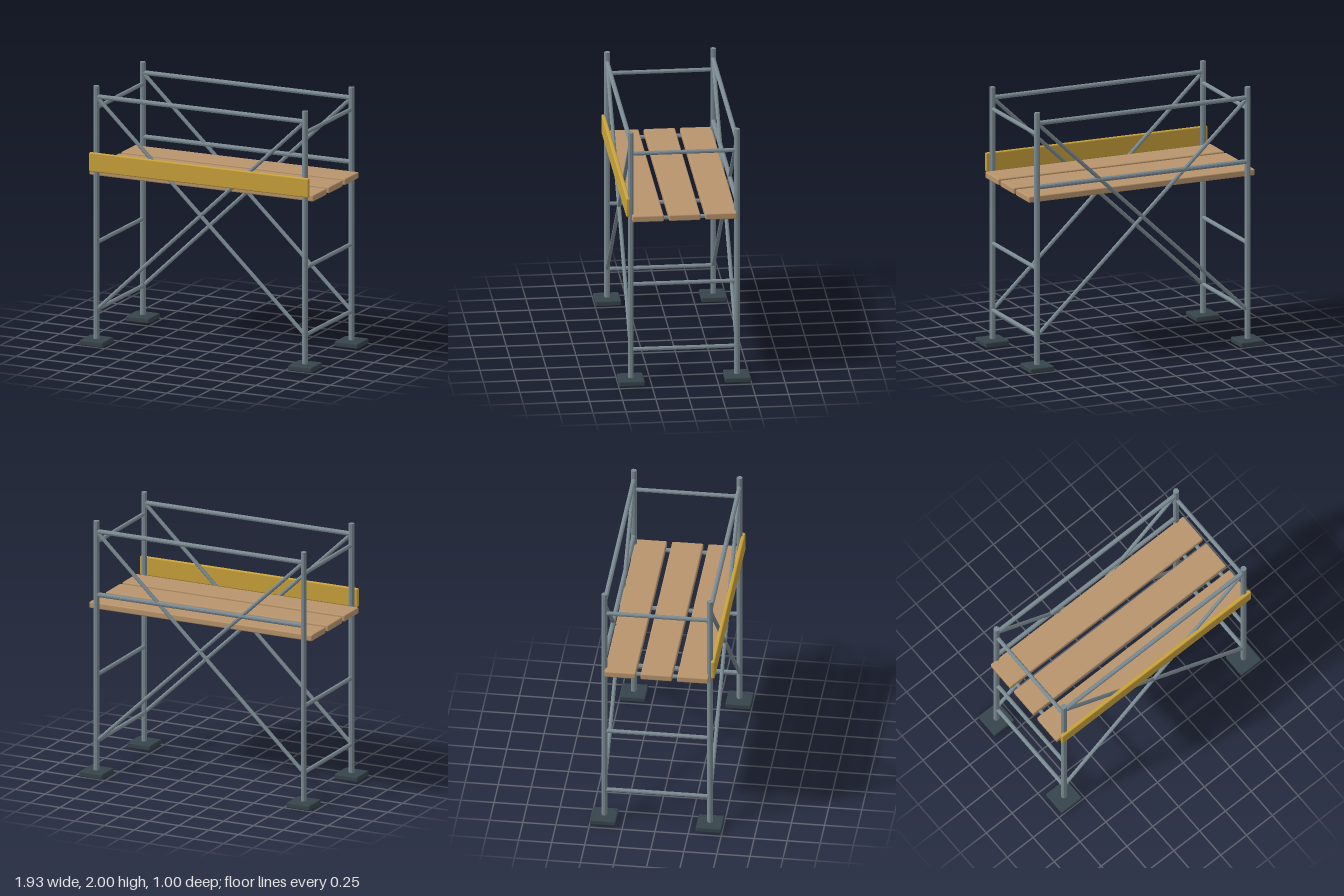
import * as THREE from 'three';
import { RoundedBoxGeometry } from 'three/addons/geometries/RoundedBoxGeometry.js';

const material = (name, color, flatShading = false) => {
  const m = new THREE.MeshStandardMaterial({ color, flatShading });
  m.name = name;
  return m;
};

export function createModel() {
  const model = new THREE.Group();
  model.name = 'scaffold';
  const steel = material('galvanised steel', 0x7b8a92, true);
  const dark = material('dark base steel', 0x37444b);
  const wood = material('plank wood', 0xb8946c);
  const yellow = material('toe board yellow', 0xc9a23a);

  const X = 0.87, Z = 0.4; // post positions

  // Straight tube between two points
  const tube = (name, a, b, r) => {
    const from = new THREE.Vector3(...a), to = new THREE.Vector3(...b);
    const dir = to.clone().sub(from);
    const mesh = new THREE.Mesh(new THREE.CylinderGeometry(r, r, dir.length(), 10), steel);
    mesh.position.copy(from).add(to).multiplyScalar(0.5);
    mesh.quaternion.setFromUnitVectors(new THREE.Vector3(0, 1, 0), dir.normalize());
    mesh.name = name;
    model.add(mesh);
  };

  // Board with softened edges
  const board = (name, size, pos, mat) => {
    const mesh = new THREE.Mesh(new RoundedBoxGeometry(...size, 2, 0.01), mat);
    mesh.position.set(...pos);
    mesh.name = name;
    model.add(mesh);
  };

  // Posts on square base plates
  for (const x of [-X, X]) for (const z of [-Z, Z]) {
    tube('post', [x, 0.03, z], [x, 2, z], 0.022);
    board('basePlate', [0.195, 0.042, 0.195], [x, 0.025 - 0.004, z], dark);
  }

  // Ladder rungs on both end frames
  for (const x of [-X, X]) for (const y of [0.264, 0.785, 1.31, 1.83])
    tube('rung', [x, y, -Z], [x, y, Z], 0.016);

  // Top rails and cross braces on the front and back
  for (const z of [-Z, Z]) {
    tube('topRail', [-X, 1.917, z], [X, 1.917, z], 0.018);
    for (const s of [-1, 1])
      tube('crossBrace', [-s * X, 0.264, z], [s * X, 1.917, z], 0.015);
  }

  // Middle guard rail on the back only
  tube('midRail', [-X, 1.42, -Z], [X, 1.42, -Z], 0.018);

  // Deck planks
  for (const i of [-1, 0, 1])
    board('deckPlank', [1.87, 0.05, 0.237], [0, 1.326, i * 0.275], wood);

  // Toe board along the front
  board('toeBoard', [1.83, 0.148, 0.03], [0, 1.413, 0.425], yellow);

  return model;
}
